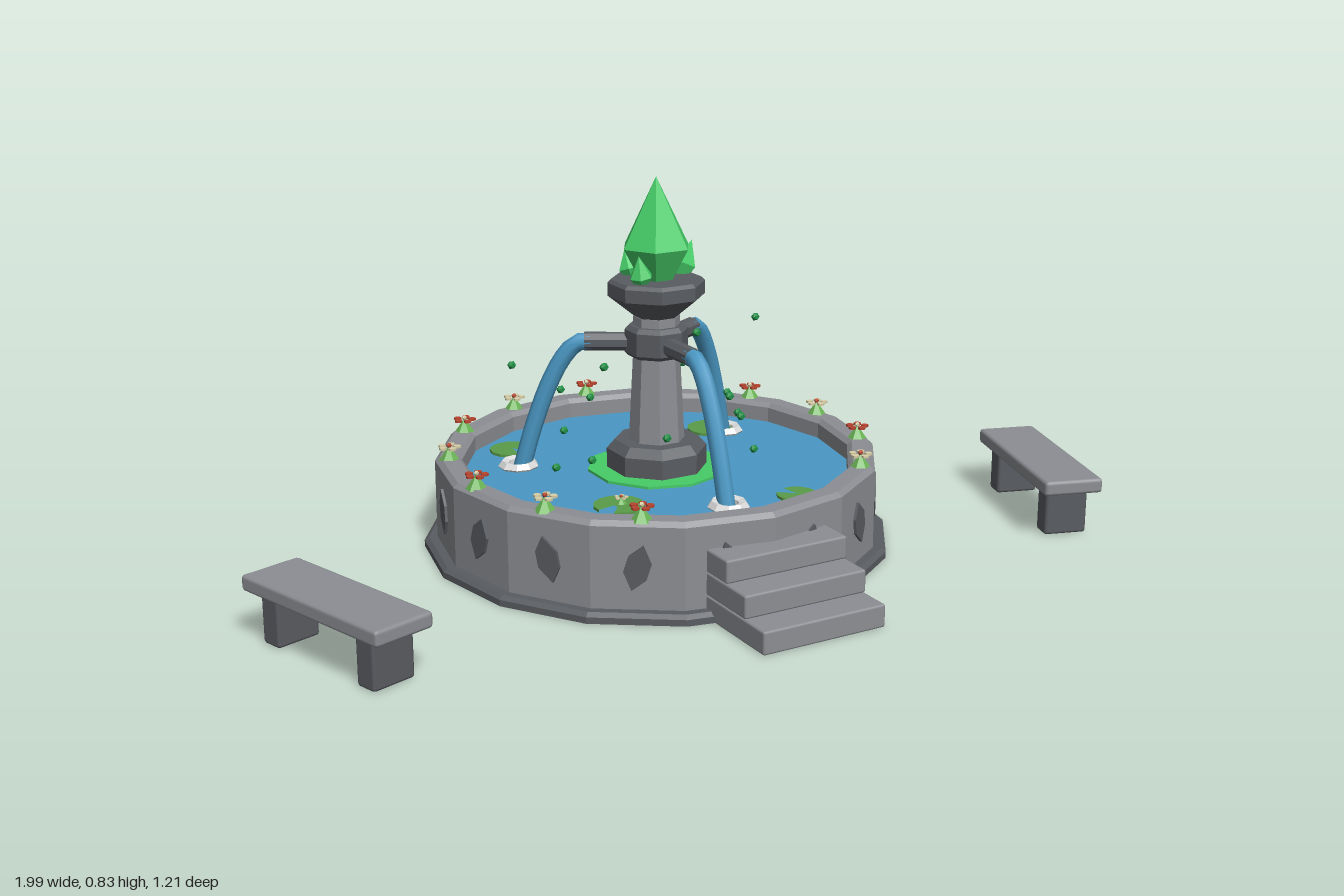
import * as THREE from 'three';
import { RoundedBoxGeometry } from 'three/addons/geometries/RoundedBoxGeometry.js';

const mat = (name, color) => {
  const m = new THREE.MeshStandardMaterial({ color });
  m.name = name;
  return m;
};

// Faceted copy of a geometry
function flat(g) {
  const f = g.index ? g.toNonIndexed() : g;
  f.computeVertexNormals();
  return f;
}

function add(parent, name, geo, material, x = 0, y = 0, z = 0) {
  const m = new THREE.Mesh(geo, material);
  m.name = name;
  m.position.set(x, y, z);
  parent.add(m);
  return m;
}

// Faceted turned shape from [radius, height] pairs
const turned = (pts, sides, turn = 0) =>
  flat(new THREE.LatheGeometry(pts.map(p => new THREE.Vector2(p[0], p[1])), sides)).rotateY(turn);

const block = (w, h, d, r) => new RoundedBoxGeometry(w, h, d, 1, r);

export function createModel() {
  const stone = mat('lightStone', 0x8c8e93);
  const dark = mat('darkStone', 0x595c61);
  const water = mat('water', 0x4a98c4);
  const crystal = mat('crystalGreen', 0x46cc68);
  const drop = mat('dropletGreen', 0x1f8f45);
  const leaf = mat('leafGreen', 0x6bb455);
  const pad = mat('padGreen', 0x5a9c48);
  const red = mat('petalRed', 0xb8452f);
  const cream = mat('petalCream', 0xd8cfa8);
  const white = mat('foamWhite', 0xdcdcdc);

  const model = new THREE.Group();
  model.name = 'gardenFountain';
  const fountain = new THREE.Group();
  fountain.name = 'fountain';
  fountain.position.z = -0.08;
  model.add(fountain);
  const waterY = 0.165;

  // Basin
  add(fountain, 'basinFoot', turned([[0, 0], [0.525, 0], [0.525, 0.014], [0.515, 0.022], [0.48, 0.022]], 16), dark);
  add(fountain, 'basinWall', turned([[0.496, 0.02], [0.496, 0.2], [0.485, 0.21], [0.447, 0.21], [0.436, 0.2], [0.436, 0.14]], 16), stone);
  add(fountain, 'waterSurface', flat(new THREE.CylinderGeometry(0.44, 0.44, 0.02, 16)), water, 0, waterY - 0.01, 0);
  add(fountain, 'glowRing', flat(new THREE.CylinderGeometry(0.157, 0.157, 0.006, 10)), crystal, 0, waterY + 0.003, 0);

  // Leaf-shaped reliefs, one on each basin face
  const reliefShape = new THREE.Shape([[0, -0.05], [0.024, -0.02], [0.026, 0.015], [0, 0.05], [-0.024, 0.02], [-0.026, -0.015]]
    .map(p => new THREE.Vector2(...p)));
  const reliefGeo = new THREE.ExtrudeGeometry(reliefShape, { depth: 0.008, bevelEnabled: false });
  for (let j = 0; j < 16; j++) {
    const a = (j + 0.5) * Math.PI / 8;
    const r = add(fountain, 'wallRelief', reliefGeo, dark, 0.4845 * Math.sin(a), 0.113, 0.4845 * Math.cos(a));
    r.rotation.set(0, a, j % 2 ? 0.25 : -0.25);
  }

  // Pedestal
  const e = Math.PI / 8;
  add(fountain, 'pedestalBase', turned([[0.113, 0.15], [0.113, 0.215], [0.095, 0.235], [0, 0.235]], 8, e), dark);
  add(fountain, 'column', turned([[0.063, 0.23], [0.052, 0.44]], 8, e), stone);
  add(fountain, 'hub', turned([[0, 0.428], [0.062, 0.428], [0.071, 0.437], [0.071, 0.488], [0.062, 0.498], [0, 0.498]], 8, e), dark);
  add(fountain, 'collar', turned([[0.052, 0.49], [0.052, 0.518], [0, 0.518]], 8, e), stone);
  add(fountain, 'cup', turned([[0.042, 0.512], [0.108, 0.565], [0.108, 0.594], [0.101, 0.602], [0, 0.602]], 8, e), dark);

  // Crystals: one large, three small leaning outward
  const gem = (r, h) => turned([[0, 0], [r * 0.5, 0], [r, h * 0.32], [0, h]], 6, Math.PI / 6);
  add(fountain, 'mainCrystal', gem(0.08, 0.227), crystal, 0, 0.6, 0);
  for (const [x, z, r, h, lean] of [[0.07, -0.018, 0.03, 0.085, 0.45], [-0.052, 0.03, 0.026, 0.07, 0.2], [-0.03, -0.058, 0.026, 0.065, 0.3]]) {
    const c = add(fountain, 'smallCrystal', gem(r, h), crystal, x, 0.595, z);
    const side = new THREE.Vector3(z, 0, -x).normalize();
    c.quaternion.setFromAxisAngle(side, lean);
  }

  // Three spouts with falling streams and foam rings
  const path = new THREE.CatmullRomCurve3([[0.145, 0.458], [0.175, 0.455], [0.205, 0.425], [0.24, 0.36], [0.275, 0.265], [0.305, 0.16]]
    .map(p => new THREE.Vector3(0, p[1], p[0])));
  const streamGeo = new THREE.TubeGeometry(path, 14, 0.02, 8);
  const armGeo = flat(new THREE.CylinderGeometry(0.021, 0.021, 0.11, 8).rotateY(e).rotateX(Math.PI / 2));
  const foamGeo = flat(new THREE.TorusGeometry(0.033, 0.013, 5, 9).rotateX(Math.PI / 2));
  for (let i = 0; i < 3; i++) {
    const spout = new THREE.Group();
    spout.name = 'spout';
    spout.rotation.y = i * Math.PI * 2 / 3;
    fountain.add(spout);
    add(spout, 'spoutArm', armGeo, dark, 0, 0.458, 0.105);
    add(spout, 'waterStream', streamGeo, water);
    add(spout, 'foamRing', foamGeo, white, 0, waterY + 0.004, 0.312);
  }

  // Flowers around the rim, with a gap at the steps
  const tuftGeo = flat(new THREE.ConeGeometry(0.024, 0.034, 6));
  const petalGeo = flat(new THREE.CylinderGeometry(0.0095, 0.0095, 0.005, 6));
  const budGeo = flat(new THREE.IcosahedronGeometry(0.006, 0));
  function flower(parent, x, y, z, petals, bud, s = 1) {
    const f = new THREE.Group();
    f.name = 'flower';
    f.position.set(x, y, z);
    f.scale.setScalar(s);
    parent.add(f);
    add(f, 'leafTuft', tuftGeo, leaf, 0, 0.015, 0);
    for (let p = 0; p < 5; p++) {
      const a = p * Math.PI * 0.4;
      add(f, 'petal', petalGeo, petals, 0.018 * Math.sin(a), 0.029, 0.018 * Math.cos(a)).scale.set(0.9, 1, 0.9);
    }
    add(f, 'flowerCentre', budGeo, bud, 0, 0.033, 0);
  }
  for (let k = 0; k < 14; k++) {
    if (k === 6 || k === 7) continue;
    const a = THREE.MathUtils.degToRad(7.2 + k * 360 / 14);
    flower(fountain, 0.464 * Math.sin(a), 0.208, -0.464 * Math.cos(a), k % 2 ? cream : red, k % 2 ? red : cream);
  }

  // Notched lily pads
  for (const [x, z, r, turn] of [[-0.235, -0.265, 0.052, 0.6], [0.25, -0.18, 0.058, 2], [-0.2, 0.195, 0.056, 5.6], [0.165, 0.325, 0.045, 4]]) {
    const geo = flat(new THREE.CylinderGeometry(r, r, 0.006, 12, 1, false, turn, 5.6));
    add(fountain, 'lilyPad', geo, pad, x, waterY + 0.004, z);
  }
  flower(fountain, -0.195, waterY + 0.004, 0.195, cream, red, 0.6);

  // Floating droplets
  const dropGeo = flat(new THREE.IcosahedronGeometry(0.01, 0));
  const drops = [[0.01, 0.38, -0.374], [0.12, 0.42, -0.348], [-0.13, 0.31, -0.3], [0.115, 0.335, -0.23], [0.22, 0.26, -0.245],
    [0.245, 0.28, -0.18], [0.25, 0.24, -0.14], [0.305, 0.46, -0.155], [0.21, 0.25, -0.18], [-0.275, 0.4, -0.25],
    [-0.165, 0.24, -0.215], [-0.1, 0.31, -0.21], [-0.31, 0.25, 0.04], [-0.235, 0.26, 0.06], [-0.22, 0.47, 0.09],
    [-0.107, 0.315, 0.157], [0.02, 0.4, 0.2], [0.12, 0.31, 0.085], [0.17, 0.22, 0.06], [-0.03, 0.533, 0.147], [0.13, 0.365, -0.19]];
  for (const [x, y, z] of drops) add(model, 'droplet', dropGeo, drop, x, y, z);

  // Front steps
  for (let i = 0; i < 3; i++) {
    const front = 0.605 - i * 0.07, depth = front - 0.37;
    add(model, 'step', block(0.29, 0.05, depth, 0.005), stone, 0, 0.025 + i * 0.05, front - depth / 2);
  }

  // Pair of benches angled towards the fountain
  for (const s of [-1, 1]) {
    const bench = new THREE.Group();
    bench.name = s > 0 ? 'leftBench' : 'rightBench';
    bench.position.set(s * 0.868, 0, 0.208);
    bench.rotation.y = -s * 0.31;
    model.add(bench);
    add(bench, 'benchSeat', block(0.138, 0.034, 0.42, 0.008), stone, 0, 0.123, 0);
    for (const e2 of [-1, 1]) add(bench, 'benchLeg', block(0.1, 0.112, 0.052, 0.007), dark, 0, 0.056, e2 * 0.147);
  }
  return model;
}
